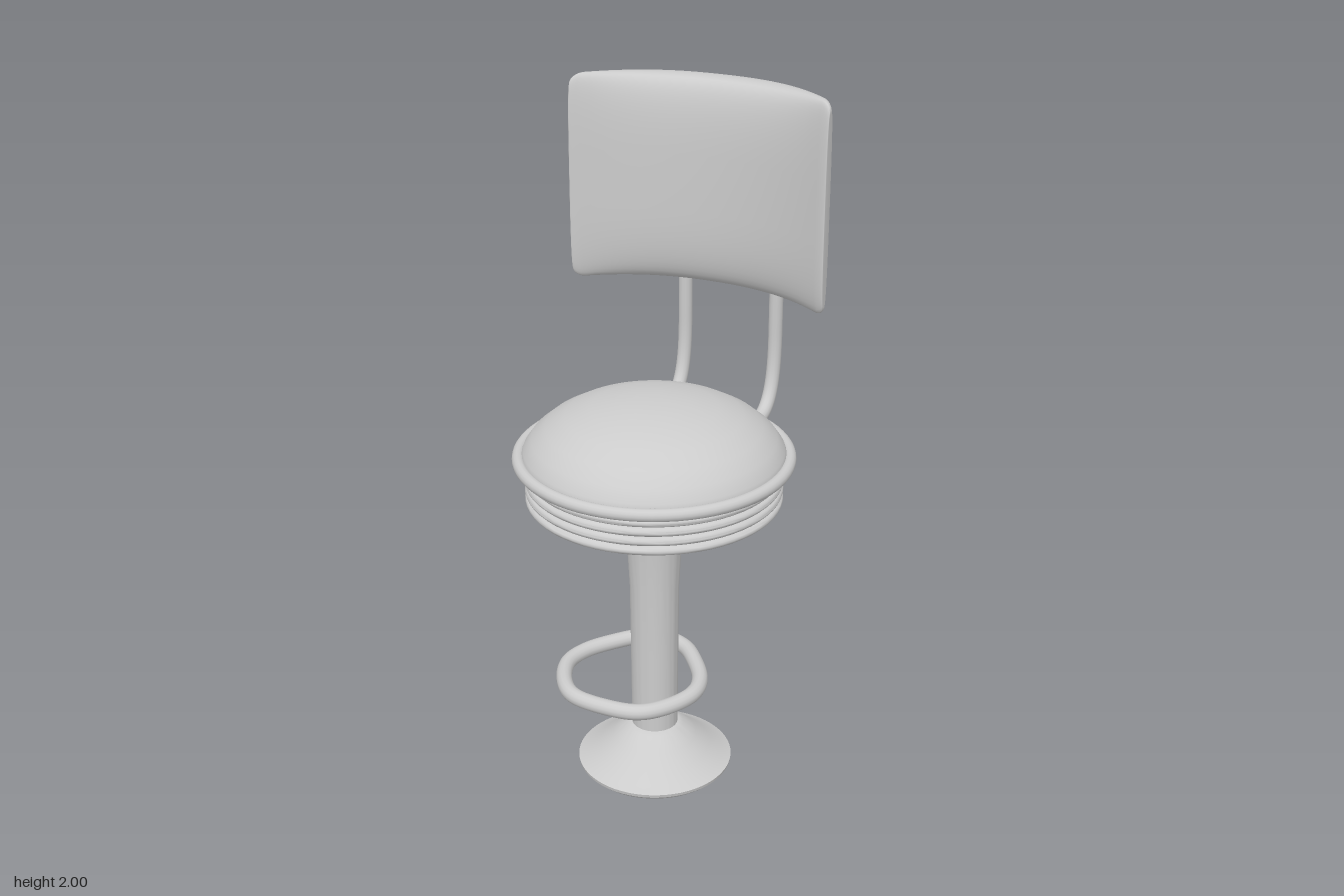
import * as THREE from 'three';
import { mergeVertices, toCreasedNormals } from 'three/addons/utils/BufferGeometryUtils.js';

const SEAT_Z = 0.072;

export function createModel() {
  const model = new THREE.Group();
  const mat = new THREE.MeshStandardMaterial({ color: 0xcccccc, roughness: 0.6 });

  const add = (name, geo, x = 0, y = 0, z = 0) => {
    const mesh = new THREE.Mesh(geo, mat);
    mesh.name = name;
    mesh.position.set(x, y, z);
    model.add(mesh);
    return mesh;
  };
  const lathe = (pts, crease = 0.6, seg = 64) =>
    toCreasedNormals(new THREE.LatheGeometry(pts.map(([r, y]) => new THREE.Vector2(r, y)), seg), crease);

  // Pedestal: flared foot and column that widens under the seat
  add('base', lathe([[0, 0], [0.215, 0], [0.228, 0.012], [0.23, 0.022], [0.205, 0.034], [0.165, 0.062],
    [0.125, 0.095], [0.085, 0.13], [0.072, 0.137], [0, 0.137]]), 0, 0, SEAT_Z);
  add('column', lathe([[0.068, 0.12], [0.07, 0.4], [0.072, 0.6], [0.08, 0.75], [0.085, 0.82],
    [0.092, 0.855], [0.104, 0.885]]), 0, 0, SEAT_Z);

  // Footrest: closed ring, wide and flattened in front, narrow behind the column
  const half = [[0.1, 0.32], [0.157, 0.268], [0.2, 0.17], [0.188, 0.09], [0.13, 0.0], [0.07, -0.06]];
  const ring = [[0, 0.335], ...half, [0, -0.083], ...half.map(([x, z]) => [-x, z]).reverse()];
  const ringCurve = new THREE.CatmullRomCurve3(ring.map(([x, z]) => new THREE.Vector3(x, 0, z)), true);
  add('footrest', new THREE.TubeGeometry(ringCurve, 96, 0.023, 14, true), 0, 0.375, SEAT_Z);

  // Ribbed metal band below the seat
  const band = [[0, 0.88], [0.35, 0.88]];
  const ribs = 4, pitch = 0.028;
  for (let i = 0; i < ribs; i++) {
    const y = 0.881 + i * pitch;
    for (let k = 0; k <= 8; k++) {
      const a = (k / 8) * Math.PI;
      band.push([0.345 + 0.021 * Math.sin(a), y + (pitch / 2) * (1 - Math.cos(a))]);
    }
  }
  band.push([0.335, 0.994], [0.335, 1.005], [0, 1.005]);
  add('ribbedBand', lathe(band, 0.8), 0, 0, SEAT_Z);

  // Padded seat with piping round the edge
  add('seatCushion', lathe([[0, 1.0], [0.372, 1.0], [0.376, 1.02], [0.368, 1.04], [0.345, 1.073], [0.305, 1.107],
    [0.25, 1.138], [0.18, 1.161], [0.1, 1.175], [0.05, 1.179], [0, 1.18]]), 0, 0, SEAT_Z);
  add('seatPiping', new THREE.TorusGeometry(0.382, 0.018, 14, 72).rotateX(Math.PI / 2), 0, 1.016, SEAT_Z);

  // Two bent tubes carrying the backrest
  const path = new THREE.CurvePath();
  const v = (y, z) => new THREE.Vector3(0, y, z);
  path.add(new THREE.LineCurve3(v(0.988, -0.06), v(0.988, -0.32)));
  path.add(new THREE.CubicBezierCurve3(v(0.988, -0.32), v(0.988, -0.42), v(1.07, -0.452), v(1.22, -0.453)));
  path.add(new THREE.LineCurve3(v(1.22, -0.453), v(1.82, -0.453)));
  path.add(new THREE.CubicBezierCurve3(v(1.82, -0.453), v(1.91, -0.448), v(1.945, -0.43), v(1.945, -0.375)));
  for (const s of [-1, 1]) {
    const name = s > 0 ? 'leftBackTube' : 'rightBackTube';
    add(name, new THREE.TubeGeometry(path, 90, 0.021, 14), s * 0.147);
    const cap = new THREE.CircleGeometry(0.021, 14);
    add(name + 'End', cap, s * 0.147, 1.945, -0.375);
  }

  add('backrest', backrestGeometry(), 0, 1.7, 0);
  return model;
}

// Curved pillow: rounded cross-sections in y and z, lofted along x
function backrestGeometry() {
  const W = 0.39, H = 0.3, N = 48;
  const pos = [], idx = [];
  const side = [];
  for (let i = 1; i <= 14; i++) side.push((i / 14) * 0.92);
  side.push(0.945, 0.97, 0.988, 0.997, 1);
  const stations = [...side.map((s) => -s).reverse(), 0, ...side];
  const power = (c) => Math.sign(c) * Math.abs(c) ** 0.62;
  const row = (s, shrink) => {
    const a = Math.abs(s);
    const front = -0.275 + 0.1 * a ** 2;
    const back = -0.428 + 0.205 * a ** 2.6;
    const e = Math.max(0, (a - 0.92) / 0.08);
    const round = 1 - Math.sqrt(Math.max(0, 1 - e * e));
    const h = H * (1 - 0.09 * round) * shrink;
    const t = ((front - back) / 2) * (1 - 0.3 * round) * shrink;
    for (let j = 0; j < N; j++) {
      const q = (j / N) * Math.PI * 2;
      pos.push(s * W, h * power(Math.cos(q)), (front + back) / 2 + t * power(Math.sin(q)));
    }
  };
  row(-1, 0);
  stations.forEach((s) => row(s, 1));
  row(1, 0);
  for (let i = 0; i < stations.length + 1; i++) {
    for (let j = 0; j < N; j++) {
      const a = i * N + j, b = i * N + ((j + 1) % N);
      idx.push(a, b, a + N, b, b + N, a + N);
    }
  }
  const geo = new THREE.BufferGeometry();
  geo.setAttribute('position', new THREE.Float32BufferAttribute(pos, 3));
  geo.setIndex(idx);
  const merged = mergeVertices(geo);
  merged.computeVertexNormals();
  return merged;
}
